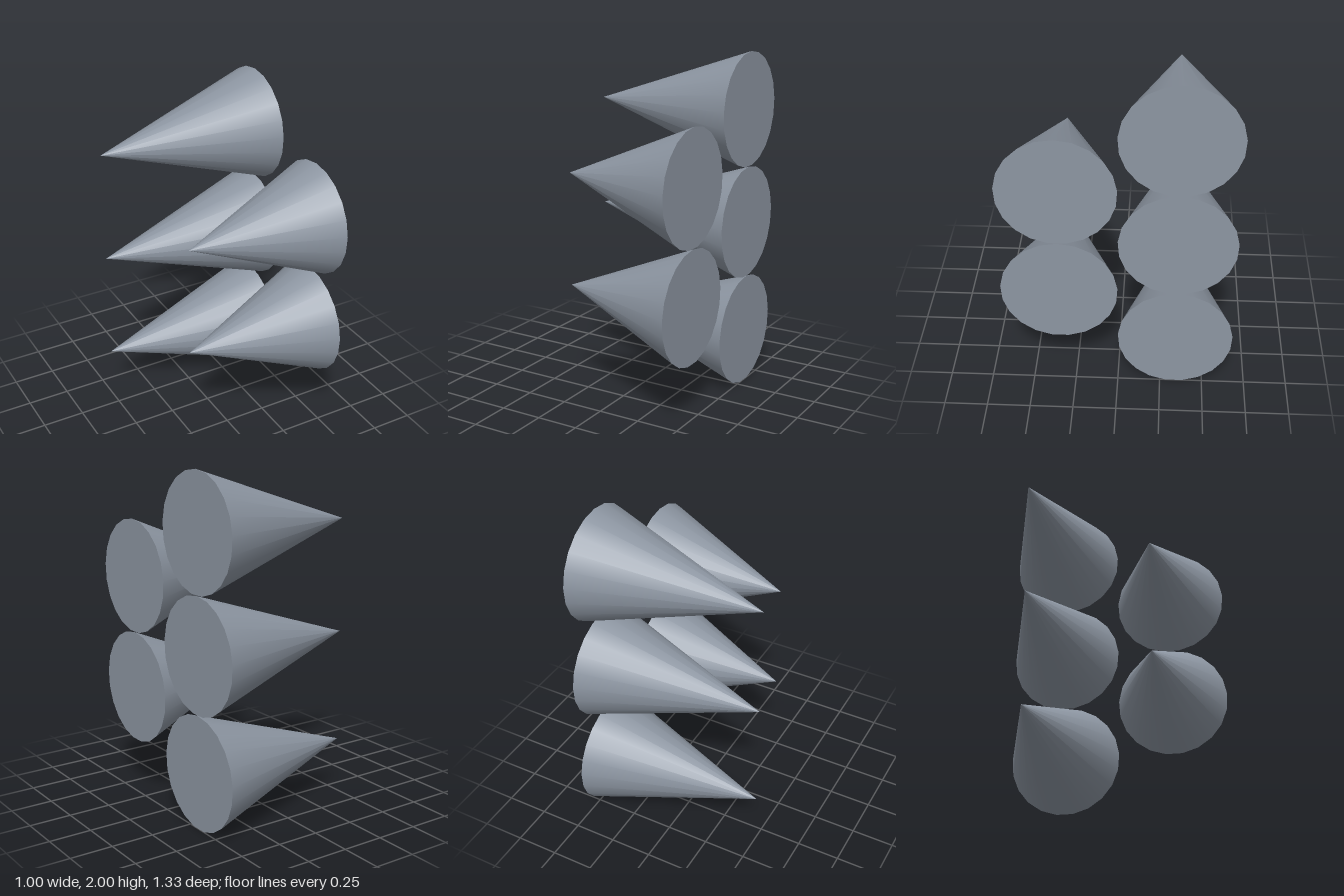
import * as THREE from 'three';

const RADIUS = 1 / 3;
const SIDES = 21;
const BASE_X = 0.5;

export function createModel() {
  const group = new THREE.Group();
  group.name = 'stackedCones';
  const blueGrey = new THREE.MeshStandardMaterial({ color: 0x8c95a1 });
  blueGrey.name = 'blueGrey';

  // A cone lying on its side: flat base towards +x, tip towards -x
  function addCone(name, length, y, z) {
    const geometry = new THREE.ConeGeometry(RADIUS, length, SIDES, 1, false, Math.PI / 2);
    geometry.rotateZ(Math.PI / 2);
    const cone = new THREE.Mesh(geometry, blueGrey);
    cone.name = name;
    cone.position.set(BASE_X - length / 2, y, z);
    group.add(cone);
  }

  // Back column: three long cones
  for (let i = 0; i < 3; i++) {
    addCone(`longCone${i + 1}`, 1, RADIUS * (1 + 2 * i), -RADIUS);
  }
  // Front column: two shorter cones, staggered by half a step
  for (let i = 0; i < 2; i++) {
    addCone(`shortCone${i + 1}`, 0.8, RADIUS * (2 + 2 * i), RADIUS);
  }
  return group;
}
